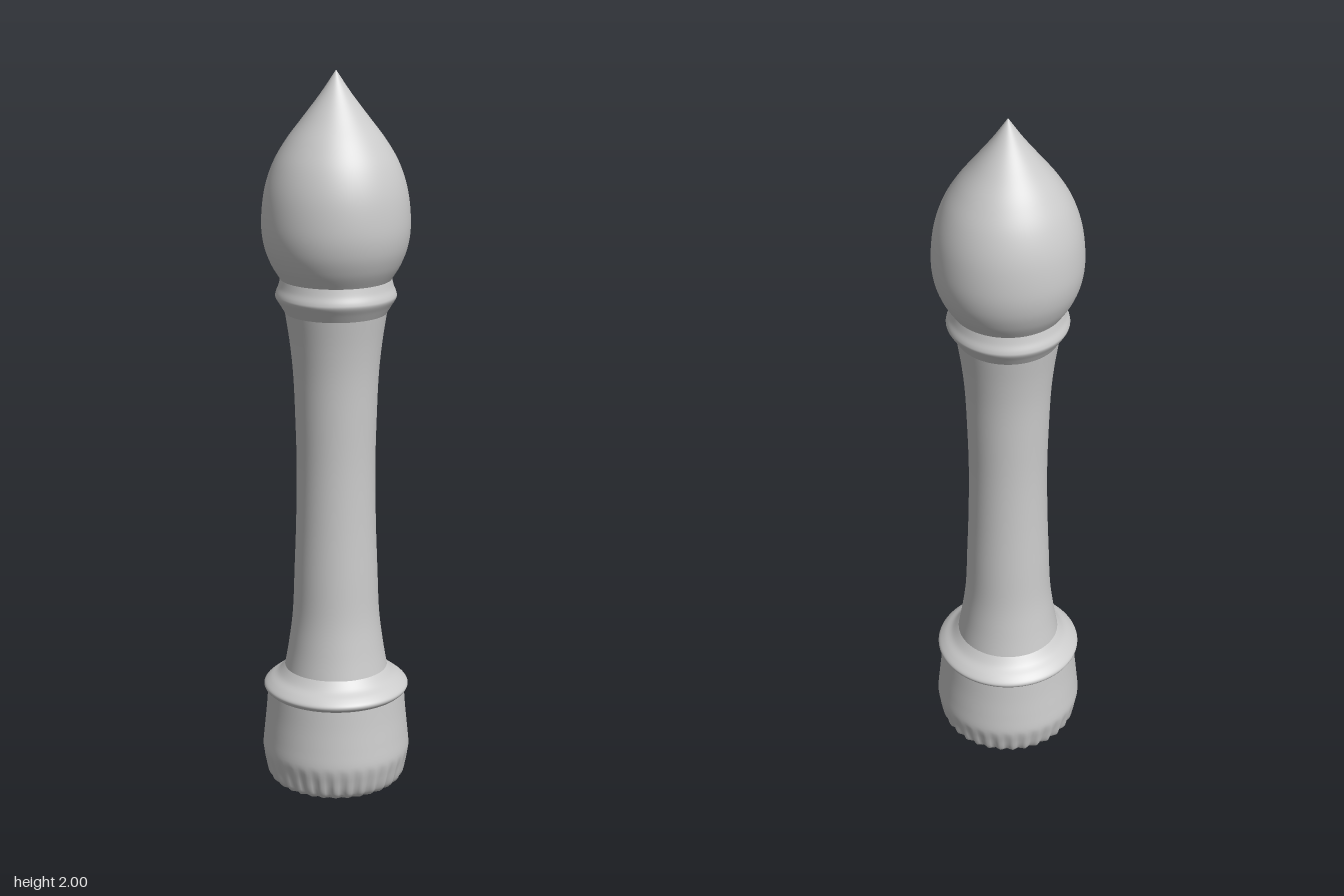
import * as THREE from 'three';
import { mergeVertices } from 'three/addons/utils/BufferGeometryUtils.js';

const SIDES = 128;
const FLUTES = 32;

// Smooth curve through [radius, height] points, listed from bottom to top
function smooth(points, steps) {
  const curve = new THREE.SplineCurve(points.map(([r, y]) => new THREE.Vector2(r, y)));
  return curve.getPoints(steps).map((p) => new THREE.Vector2(Math.max(p.x, 0), p.y));
}

function turned(name, profile, material, reshape) {
  let geometry = new THREE.LatheGeometry(profile, SIDES);
  if (reshape) {
    reshape(geometry.attributes.position);
    geometry.deleteAttribute('uv');
    geometry.deleteAttribute('normal');
    geometry = mergeVertices(geometry, 1e-5);
    geometry.computeVertexNormals();
  }
  const mesh = new THREE.Mesh(geometry, material);
  mesh.name = name;
  return mesh;
}

// Press shallow vertical grooves into the lower rim, fading out above and below
function flute(position) {
  for (let i = 0; i < position.count; i++) {
    const x = position.getX(i), y = position.getY(i), z = position.getZ(i);
    const fade = Math.max(0, 1 - Math.abs(y - 0.075) / 0.075);
    const groove = 0.5 - 0.5 * Math.cos(FLUTES * Math.atan2(z, x));
    const k = 1 - 0.06 * fade * groove;
    position.setXYZ(i, x * k, y, z * k);
  }
}

export function createModel() {
  const group = new THREE.Group();
  group.name = 'turnedFinial';
  const material = new THREE.MeshStandardMaterial({ color: 0xcccccc, side: THREE.DoubleSide });

  // Fluted base cup with a shallow conical underside
  const underside = smooth([[0, 0], [0.06, 0.02], [0.12, 0.04], [0.17, 0.058]], 10);
  const cup = smooth([[0.17, 0.058], [0.185, 0.075], [0.194, 0.11], [0.2, 0.15],
    [0.196, 0.2], [0.19, 0.26], [0.186, 0.315]], 28);
  group.add(turned('flutedBase', [...underside, ...cup.slice(1)], material, flute));

  // Rounded lip on top of the base
  group.add(turned('baseLip', smooth([[0.186, 0.315], [0.195, 0.324], [0.195, 0.334],
    [0.18, 0.348], [0.158, 0.363], [0.139, 0.385]], 24), material));

  // Slender shaft, flaring at both ends
  group.add(turned('shaft', smooth([[0.139, 0.385], [0.128, 0.45], [0.117, 0.54], [0.112, 0.66],
    [0.107, 0.8], [0.105, 0.95], [0.108, 1.08], [0.113, 1.2], [0.122, 1.29], [0.134, 1.37]], 48), material));

  // Ring collar under the bulb
  group.add(turned('collar', smooth([[0.134, 1.37], [0.146, 1.39], [0.158, 1.41], [0.158, 1.422],
    [0.151, 1.44], [0.146, 1.46]], 24), material));

  // Pointed flame-shaped bulb
  group.add(turned('bulb', smooth([[0.146, 1.46], [0.17, 1.5], [0.188, 1.55], [0.194, 1.61],
    [0.186, 1.69], [0.164, 1.76], [0.13, 1.82], [0.085, 1.88], [0.04, 1.94], [0, 2]], 56), material));

  return group;
}
